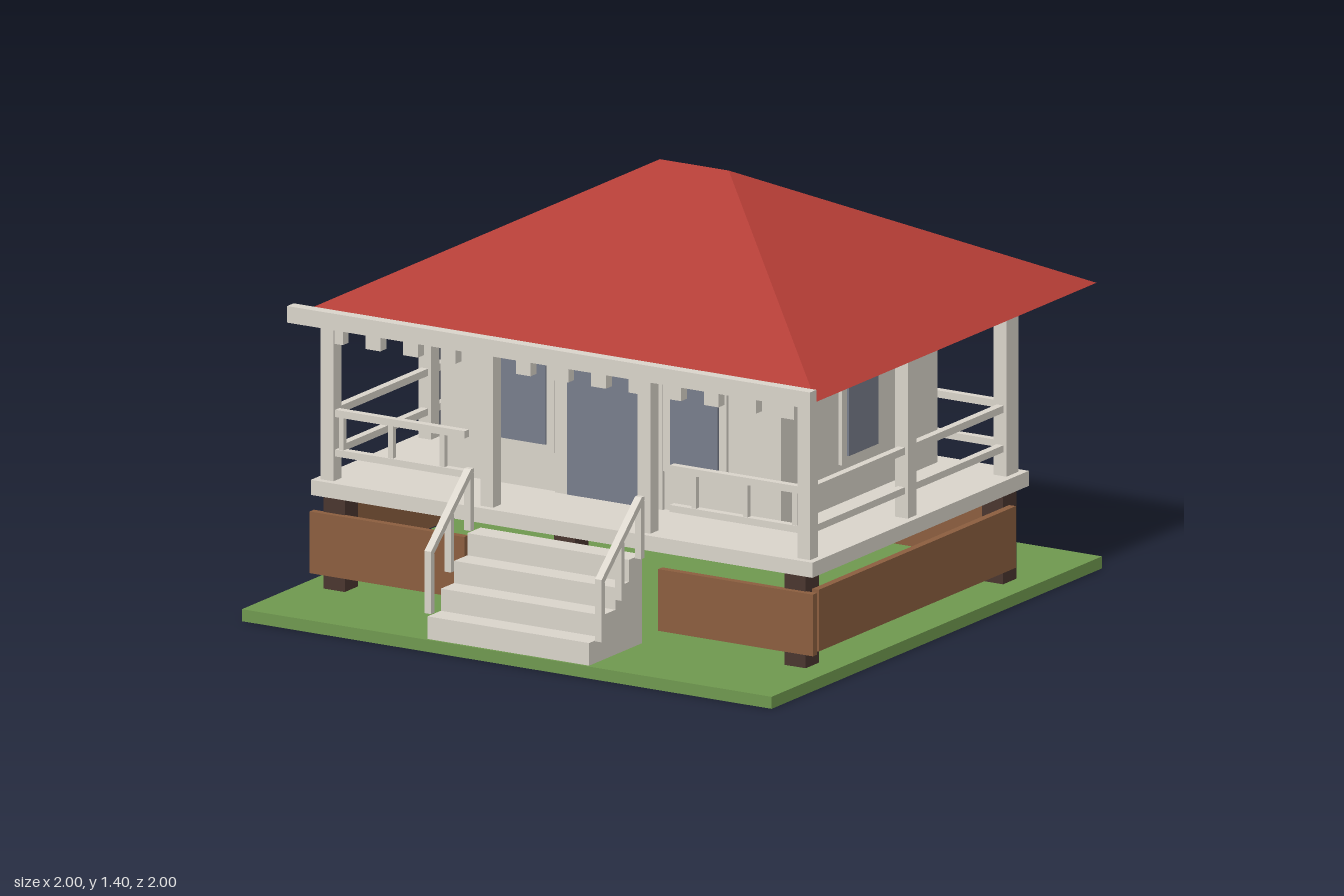
import * as THREE from 'three';

const makeMaterial = (name, color) => {
  const m = new THREE.MeshStandardMaterial({ color });
  m.name = name;
  return m;
};

export function createModel() {
  const cream = makeMaterial('cream paint', 0xd9d4ca);
  const red = makeMaterial('red roofing', 0xb23c35);
  const brown = makeMaterial('brown timber', 0x8b5e3f);
  const dark = makeMaterial('dark timber', 0x4a362f);
  const green = makeMaterial('grass green', 0x6f984f);
  const glass = makeMaterial('blue grey glass', 0x787d8b);

  const house = new THREE.Group();
  house.name = 'house';

  const add = (name, geometry, material, parent = house) => {
    const mesh = new THREE.Mesh(geometry, material);
    mesh.name = name;
    parent.add(mesh);
    return mesh;
  };
  // Box given by its limits on each axis
  const box = (name, material, [x0, x1], [y0, y1], [z0, z1], parent) => {
    const mesh = add(name, new THREE.BoxGeometry(x1 - x0, y1 - y0, z1 - z0), material, parent);
    mesh.position.set((x0 + x1) / 2, (y0 + y1) / 2, (z0 + z1) / 2);
    return mesh;
  };
  const around = (c, size) => [c - size / 2, c + size / 2];
  // Range on the +x side, mirrored for s = -1
  const side = (s, a, b) => (s > 0 ? [a, b] : [-b, -a]);

  // Ground, floor and walls
  box('lawn', green, [-1, 1], [0, 0.04], [-1, 1]);
  box('deck', cream, [-0.947, 0.947], [0.35, 0.4], [-0.642, 0.668]);
  box('walls', cream, [-0.643, 0.643], [0.4, 0.95], [-0.575, 0.37]);

  // Foundation piers
  for (const x of [-0.87, 0, 0.87]) {
    for (const z of [-0.585, 0.61]) box('pier', dark, around(x, 0.08), [0.04, 0.35], around(z, 0.08));
  }

  // Skirting boards under the deck
  box('backSkirt', brown, [-0.89, 0.89], [0.09, 0.295], [-0.65, -0.625]);
  for (const s of [-1, 1]) {
    box('frontSkirt', brown, side(s, 0.366, 0.95), [0.09, 0.295], [0.645, 0.67]);
    box('sideSkirt', brown, side(s, 0.91, 0.935), [0.09, 0.295], [-0.582, 0.61]);
  }

  // Hipped roof: two eave corners in z, a short ridge, closed soffit
  const ex = 0.987, ey = 0.95, zf = 0.71, zb = -0.987;
  const fl = [-ex, ey, zf], fr = [ex, ey, zf], br = [ex, ey, zb], bl = [-ex, ey, zb];
  const rl = [-0.13, 1.397, -0.135], rr = [0.13, 1.397, -0.135];
  const faces = [
    fl, fr, rr, fl, rr, rl,
    br, bl, rl, br, rl, rr,
    fr, br, rr, bl, fl, rl,
    fl, bl, br, fl, br, fr,
  ];
  const roof = new THREE.BufferGeometry();
  roof.setAttribute('position', new THREE.Float32BufferAttribute(faces.flat(), 3));
  roof.computeVertexNormals();
  add('roof', roof, red);

  // Front fascia and the row of joist ends behind it
  box('fascia', cream, [-0.987, 0.987], [0.935, 0.99], [0.708, 0.747]);
  for (let i = 0; i < 13; i++) {
    box('joistEnd', cream, around(-0.873 + i * 0.1419, 0.056), [0.855, 0.95], around(0.62, 0.036));
  }

  // Porch posts
  for (const s of [-1, 1]) {
    box('frontPost', cream, around(s * 0.9, 0.048), [0.4, 0.95], around(0.621, 0.048));
    box('innerPost', cream, around(s * 0.297, 0.048), [0.4, 0.95], around(0.621, 0.048));
    box('sidePost', cream, around(s * 0.9, 0.048), [0.4, 0.95], around(0.028, 0.052));
    box('backPost', cream, around(s * 0.9, 0.048), [0.4, 0.95], [-0.615, -0.543]);
  }

  // Porch railings
  for (const y of [[0.48, 0.503], [0.611, 0.635]]) {
    for (const s of [-1, 1]) {
      box('frontRail', cream, side(s, 0.387, 0.88), y, around(0.621, 0.026));
      box('sideRail', cream, around(s * 0.9, 0.026), y, [-0.55, 0.6]);
    }
    box('backRail', cream, [-0.88, 0.88], y, around(-0.6, 0.026));
  }
  for (const s of [-1, 1]) {
    for (const x of [0.475, 0.67, 0.856]) {
      box('frontBaluster', cream, around(s * x, 0.018), [0.5, 0.615], around(0.621, 0.018));
    }
    for (const x of [0.18, 0.55]) {
      box('backBaluster', cream, around(s * x, 0.018), [0.5, 0.615], around(-0.6, 0.018));
    }
  }

  // Windows: frame with a pane, built facing +z
  const addWindow = (name, x, z, turn) => {
    const group = new THREE.Group();
    group.name = name;
    box('windowFrame', cream, [-0.12, 0.12], [0.53, 0.93], [-0.005, 0.012], group);
    box('windowPane', glass, [-0.09, 0.09], [0.555, 0.902], [0.012, 0.02], group);
    group.position.set(x, 0, z);
    group.rotation.y = turn;
    house.add(group);
  };
  for (const s of [-1, 1]) {
    addWindow('frontWindow', s * 0.325, 0.37, 0);
    addWindow('sideWindow', s * 0.643, -0.098, s * Math.PI / 2);
  }

  // Front door
  box('doorFrame', cream, [-0.203, 0.203], [0.4, 0.945], [0.365, 0.382]);
  box('door', glass, [-0.154, 0.154], [0.402, 0.91], [0.382, 0.39]);

  // Front steps
  const rise = 0.0735, run = 0.08;
  for (let i = 0; i < 4; i++) {
    box('step', cream, [-0.305, 0.305], [0.04, 0.115 + i * rise], [0.99 - (i + 1) * run, 0.99 - i * run]);
  }

  // Stair handrails: sloped bar extruded across x, on three posts
  const bar = new THREE.Shape([[0.962, 0.295], [0.962, 0.322], [0.72, 0.54], [0.702, 0.54], [0.702, 0.528]]
    .map(([z, y]) => new THREE.Vector2(-z, y)));
  const barGeometry = new THREE.ExtrudeGeometry(bar, { depth: 0.025, bevelEnabled: false });
  barGeometry.translate(0, 0, -0.0125);
  barGeometry.rotateY(Math.PI / 2);
  for (const s of [-1, 1]) {
    add('stairRail', barGeometry, cream).position.x = s * 0.322;
    for (const [z, y0, y1] of [[0.952, 0.115, 0.31], [0.832, 0.225, 0.415], [0.712, 0.335, 0.525]]) {
      box('stairPost', cream, around(s * 0.322, 0.024), [y0, y1], around(z, 0.02));
    }
  }

  return house;
}
